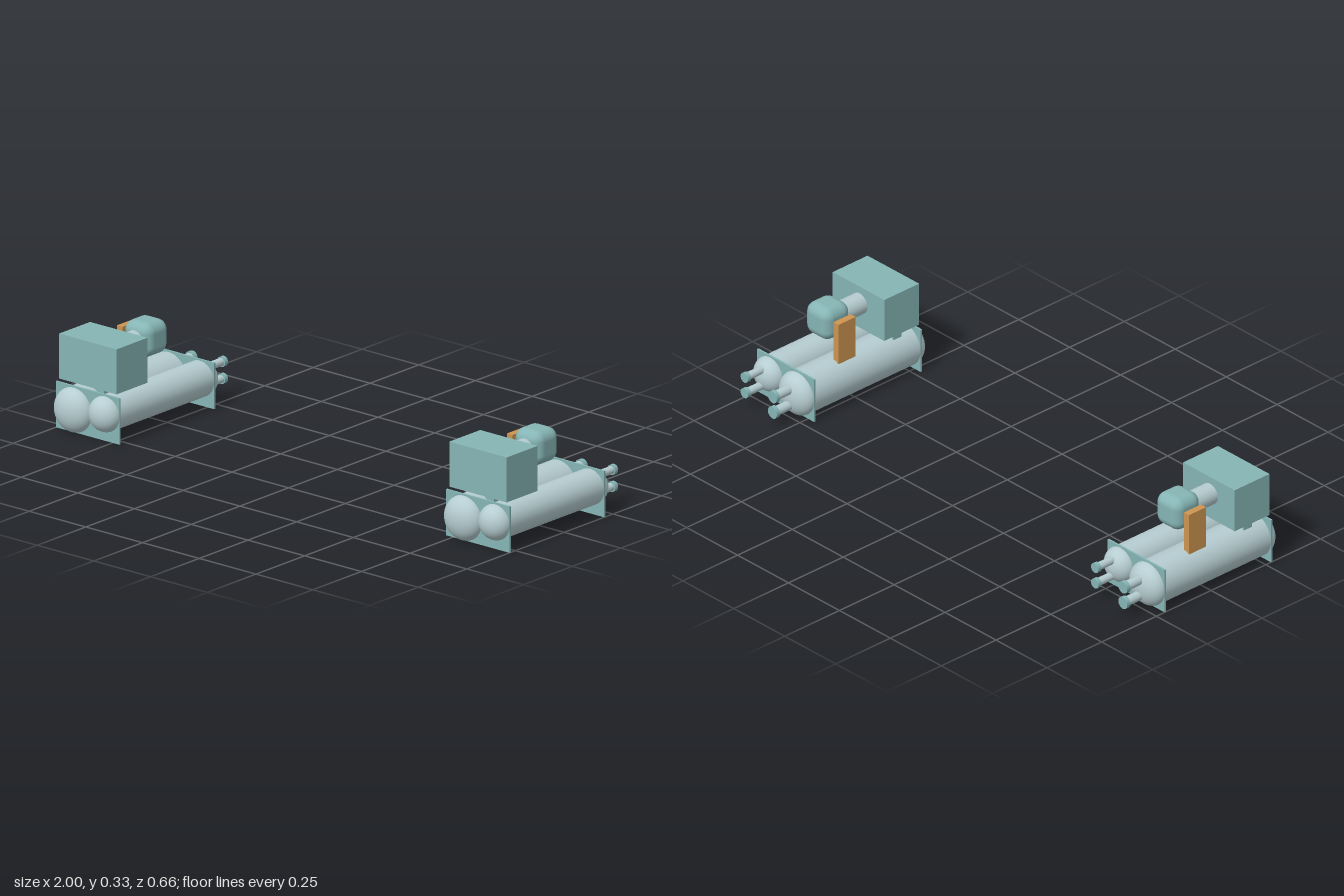
import * as THREE from 'three';
import { RoundedBoxGeometry } from 'three/addons/geometries/RoundedBoxGeometry.js';

const material = (name, color) => {
  const m = new THREE.MeshStandardMaterial({ color });
  m.name = name;
  return m;
};

export function createModel() {
  const teal = material('teal paint', 0x86b5b5);
  const pale = material('pale metal', 0xb6cdd1);
  const orange = material('orange panel', 0xcd9550);

  const add = (parent, name, geometry, mat, x, y, z) => {
    const mesh = new THREE.Mesh(geometry, mat);
    mesh.name = name;
    mesh.position.set(x, y, z);
    parent.add(mesh);
  };

  // Box given by its limits on each axis
  const box = (parent, name, mat, [x0, x1], [y0, y1], [z0, z1]) =>
    add(parent, name, new THREE.BoxGeometry(x1 - x0, y1 - y0, z1 - z0), mat,
      (x0 + x1) / 2, (y0 + y1) / 2, (z0 + z1) / 2);

  // Cylinder lying along z
  const rod = (parent, name, mat, r, x, y, z0, z1) =>
    add(parent, name, new THREE.CylinderGeometry(r, r, z1 - z0, 32).rotateX(Math.PI / 2), mat,
      x, y, (z0 + z1) / 2);

  // Horizontal tank with domed ends
  const tank = (parent, name, r, x, y) => {
    const back = -0.21, front = 0.277, dome = 0.053, steps = 12;
    const points = [];
    for (let i = 0; i <= steps; i++) {
      const a = (i / steps) * Math.PI / 2;
      points.push(new THREE.Vector2(r * Math.sin(a), back - dome * Math.cos(a)));
    }
    for (let i = 0; i <= steps; i++) {
      const a = (i / steps) * Math.PI / 2;
      points.push(new THREE.Vector2(r * Math.cos(a), front + dome * Math.sin(a)));
    }
    add(parent, name, new THREE.LatheGeometry(points, 40).rotateX(Math.PI / 2), pale, x, y, 0);
  };

  const createUnit = () => {
    const unit = new THREE.Group();
    unit.name = 'chillerUnit';

    // Two tanks, each with a pair of flanged nozzles at the back
    const tanks = [
      { name: 'large', r: 0.079, x: -0.061, y: 0.079, pipe: 0.017, flange: 0.022 },
      { name: 'small', r: 0.063, x: 0.077, y: 0.095, pipe: 0.014, flange: 0.018 },
    ];
    for (const t of tanks) {
      tank(unit, t.name + 'Tank', t.r, t.x, t.y);
      for (const side of [-1, 1]) {
        const y = t.y + side * 0.03;
        rod(unit, t.name + 'Nozzle', pale, t.pipe, t.x, y, -0.32, -0.22);
        rod(unit, t.name + 'NozzleFlange', teal, t.flange, t.x, y, -0.33, -0.315);
      }
    }

    // Plates holding the tanks together
    for (const z of [-0.209, 0.277]) {
      box(unit, 'endPlate', teal, [-0.14, 0.14], [0, 0.163], [z - 0.0035, z + 0.0035]);
    }

    // Cabinet on its feet
    box(unit, 'cabinet', teal, [-0.126, 0.127], [0.175, 0.334], [0.121, 0.28]);
    box(unit, 'cabinetFoot', teal, [-0.105, -0.078], [0.13, 0.175], [0.182, 0.22]);
    box(unit, 'cabinetFoot', teal, [-0.022, 0.02], [0.11, 0.175], [0.182, 0.22]);

    // Compressor housing joined to the cabinet
    add(unit, 'compressorHousing', new RoundedBoxGeometry(0.118, 0.12, 0.118, 5, 0.036), teal,
      -0.005, 0.274, -0.025);
    rod(unit, 'connectingPipe', pale, 0.038, -0.005, 0.27, 0.0, 0.125);

    // Upright control panel
    box(unit, 'controlPanel', orange, [-0.1, -0.075], [0.14, 0.3], [-0.064, 0.014]);
    return unit;
  };

  const model = new THREE.Group();
  model.name = 'pairOfChillers';
  for (const x of [-0.86, 0.86]) {
    const unit = createUnit();
    unit.position.x = x;
    model.add(unit);
  }
  return model;
}
